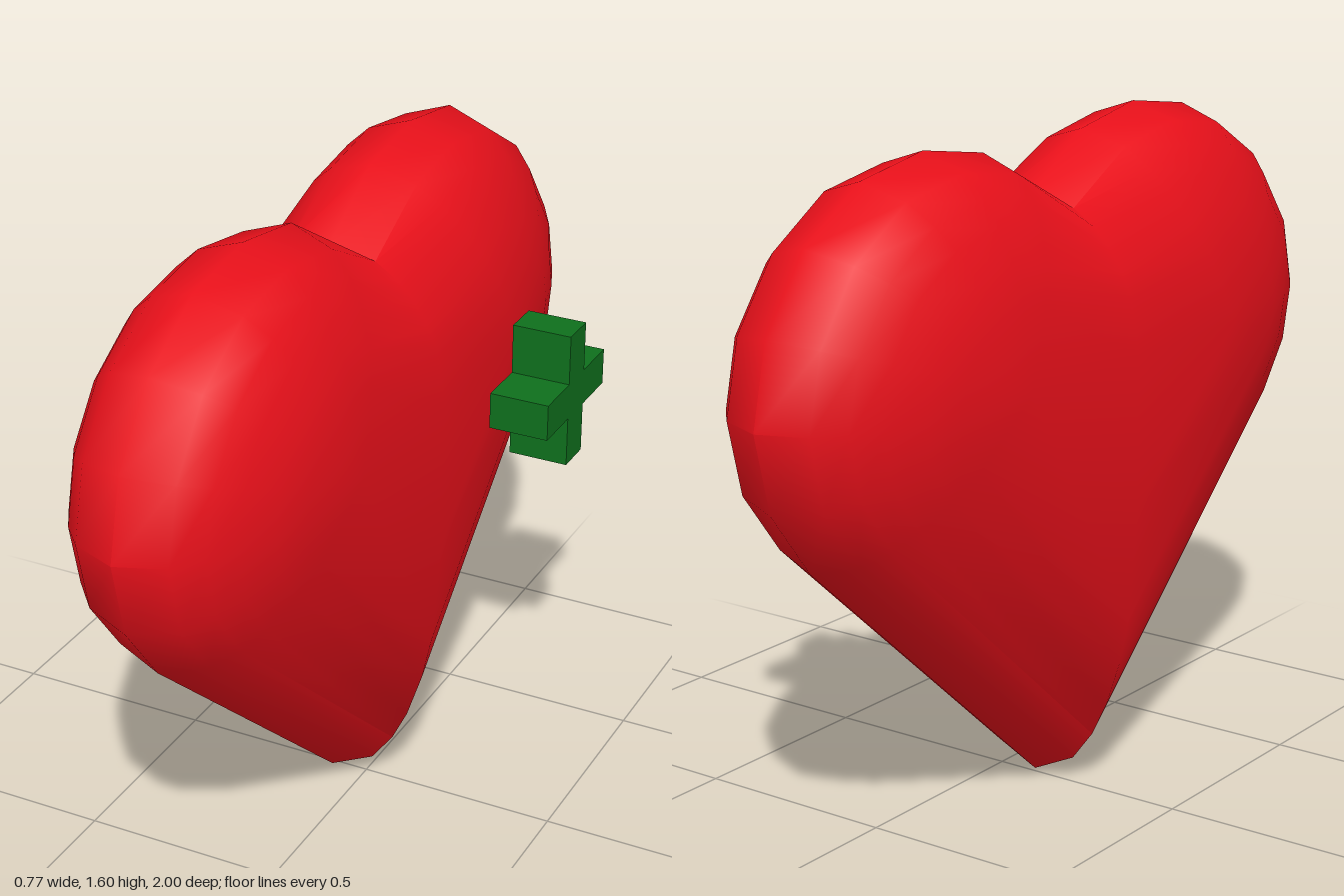
import * as THREE from 'three';
import { toCreasedNormals } from 'three/addons/utils/BufferGeometryUtils.js';

const CENTRE_X = -0.09;
const HALF_THICK = 0.295;

// Heart outline as [z, y]: notch, one lobe, tip; the other lobe is mirrored
const lobe = [
  [0.195, 1.56], [0.415, 1.597], [0.635, 1.563], [0.825, 1.45],
  [0.955, 1.28], [1.0, 1.09], [0.955, 0.9], [0.83, 0.735],
];
const mirror = (points) => points.map(([z, y]) => [-z, y]).reverse();
const outline = [[0, 1.44], ...lobe, [0, 0], ...mirror(lobe)];

// Each outline point swells towards a point of the flat middle
const lobeCentres = lobe.map(() => [0.42, 1.09]);
const middle = [[0, 1.09], ...lobeCentres, [0, 0.72], ...mirror(lobeCentres)];

function heartGeometry() {
  const half = [90, 67.5, 57, 45, 35, 22.5];
  const angles = [...half, 0, ...half.map((a) => -a).reverse()].map(THREE.MathUtils.degToRad);
  const n = outline.length;
  const last = (angles.length - 1) * n;
  const positions = [];
  const index = [];

  // Nested contours follow an elliptical section from one face to the other
  for (const a of angles) {
    const u = Math.cos(a);
    outline.forEach(([z, y], i) => {
      const [mz, my] = middle[i];
      positions.push(HALF_THICK * Math.sin(a), my + (y - my) * u, mz + (z - mz) * u);
    });
  }
  for (let j = 0; j < angles.length - 1; j++) {
    for (let i = 0; i < n; i++) {
      const k = (i + 1) % n;
      const a = j * n + i, b = a + n, d = j * n + k, c = d + n;
      const shared = middle[i][0] === middle[k][0] && middle[i][1] === middle[k][1];
      if (!(shared && j === angles.length - 2)) index.push(a, b, c);
      else index.push(a, b, d);
      if (!(shared && (j === 0 || j === angles.length - 2))) index.push(a, c, d);
    }
  }
  // Flat middle of both faces
  const tip = lobe.length + 1;
  index.push(0, 1, tip, 0, tip, tip + 1);
  index.push(last, last + tip, last + 1, last, last + tip + 1, last + tip);

  const geometry = new THREE.BufferGeometry();
  geometry.setAttribute('position', new THREE.Float32BufferAttribute(positions, 3));
  geometry.setIndex(index);
  return toCreasedNormals(geometry, 0.85);
}

function crossGeometry(halfLength, halfWidth, depth) {
  const l = halfLength, w = halfWidth;
  const shape = new THREE.Shape([
    [w, w], [w, l], [-w, l], [-w, w], [-l, w], [-l, -w],
    [-w, -w], [-w, -l], [w, -l], [w, -w], [l, -w], [l, w],
  ].map(([x, y]) => new THREE.Vector2(x, y)));
  return new THREE.ExtrudeGeometry(shape, { depth, bevelEnabled: false });
}

export function createModel() {
  const model = new THREE.Group();
  model.name = 'heartWithCross';

  // Rounded heart, tilted very slightly
  const heart = new THREE.Mesh(heartGeometry(), new THREE.MeshStandardMaterial({ color: 0xe8101a }));
  heart.name = 'heart';
  heart.position.set(CENTRE_X, 0, 0.0145);
  heart.rotation.x = -0.01;
  model.add(heart);

  // Plus-shaped cross floating beside the heart
  const cross = new THREE.Mesh(crossGeometry(0.172, 0.046, 0.15), new THREE.MeshStandardMaterial({ color: 0x0f701d }));
  cross.name = 'cross';
  cross.rotation.y = Math.PI / 2;
  cross.position.set(0.235, 0.992, -0.36);
  model.add(cross);

  return model;
}
